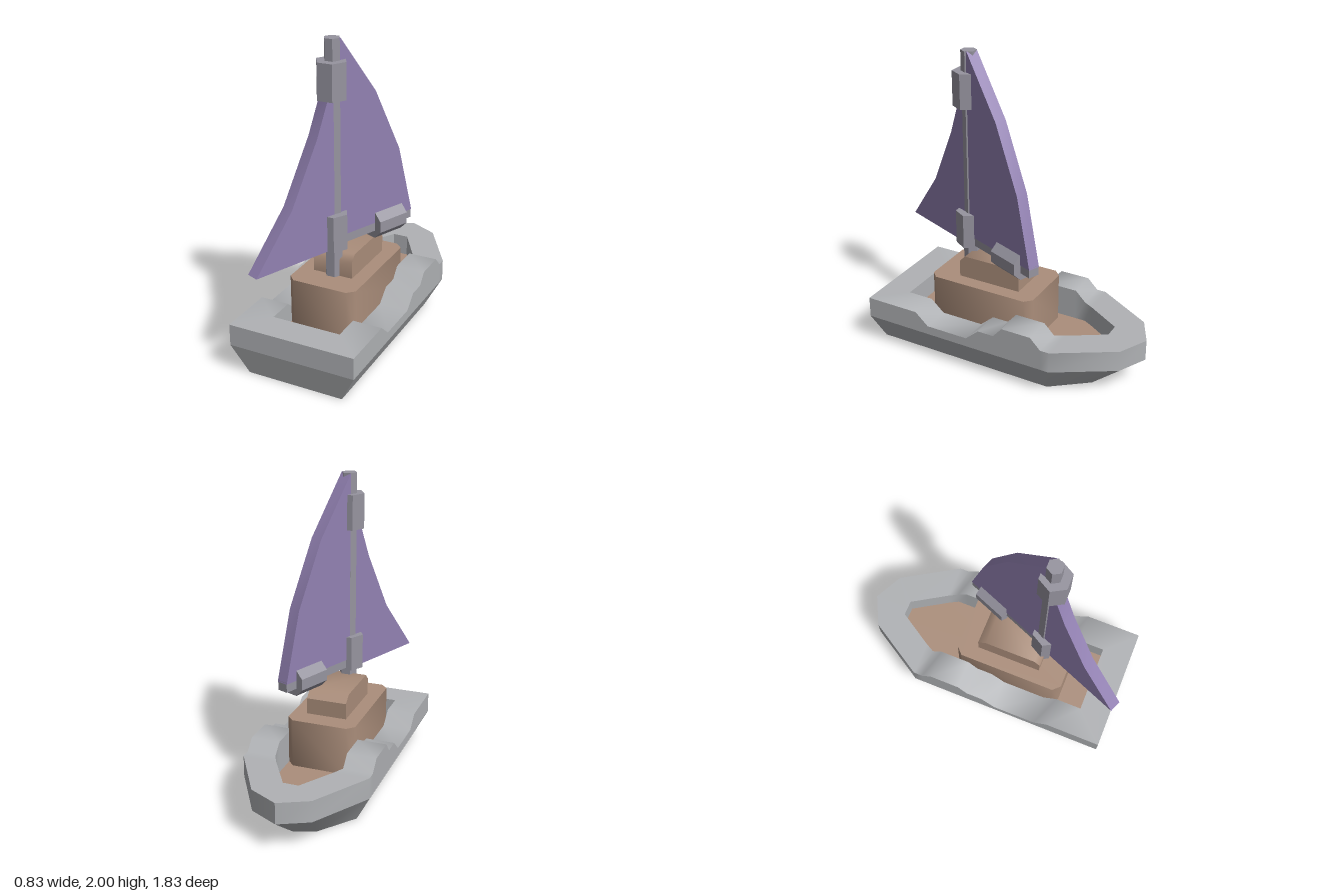
import * as THREE from 'three';
import { mergeGeometries, toCreasedNormals } from 'three/addons/utils/BufferGeometryUtils.js';

const mat = (name, color) => Object.assign(new THREE.MeshStandardMaterial({ color }), { name });
const CREASE = 0.87;

function add(parent, name, geometry, material, x = 0, y = 0, z = 0) {
  const mesh = new THREE.Mesh(geometry, material);
  mesh.name = name;
  mesh.position.set(x, y, z);
  parent.add(mesh);
  return mesh;
}

// Mirror a half outline (stern to bow, last point on the centre line) into a full loop of vectors
function loop(half, height) {
  const mirrored = half.slice(0, -1).reverse().map(([x, z]) => [-x, z]);
  return [...half, ...mirrored].map(([x, z]) => new THREE.Vector3(x, height(z), z));
}

function fromPoints(points) {
  return toCreasedNormals(new THREE.BufferGeometry().setFromPoints(points), CREASE);
}

// Band of quads between two loops
function band(low, high) {
  const points = [];
  low.forEach((a, i) => {
    const j = (i + 1) % low.length;
    points.push(a, low[j], high[j], a, high[j], high[i]);
  });
  return fromPoints(points);
}

// Fan that closes a loop
function cap(ring, up) {
  const centre = new THREE.Vector3(0, ring[0].y, 0);
  const points = [];
  ring.forEach((a, i) => {
    const b = ring[(i + 1) % ring.length];
    points.push(centre, up ? a : b, up ? b : a);
  });
  return fromPoints(points);
}

// Extrude a profile, centred on its thickness, with the profile's x running along -z
function slab(profile, thickness) {
  const shape = new THREE.Shape(profile.map(([x, y]) => new THREE.Vector2(x, y)));
  const geometry = new THREE.ExtrudeGeometry(shape, { depth: thickness, bevelEnabled: false });
  geometry.translate(0, 0, -thickness / 2).rotateY(Math.PI / 2);
  return toCreasedNormals(geometry, CREASE);
}

// Upright six-sided post with corners pointing to the sides
function hexPost(radius, y0, y1) {
  return new THREE.CylinderGeometry(radius, radius, y1 - y0, 6)
    .rotateY(Math.PI / 6).translate(0, (y0 + y1) / 2, 0).toNonIndexed();
}

export function createModel() {
  const hullGrey = mat('hull grey', 0xb0b2b5);
  const wood = mat('wood', 0xab8e7b);
  const mastGrey = mat('mast grey', 0x96949f);
  const sailPurple = mat('sail purple', 0x9281b2);
  const model = new THREE.Group();
  model.name = 'sailingBoat';

  // Hull: rail height along the boat, as [z, y]
  const rail = [[0.89, 0.33], [0.52, 0.33], [0.43, 0.25], [0.14, 0.25], [0.05, 0.33], [-0.06, 0.33],
    [-0.12, 0.4], [-0.32, 0.4], [-0.39, 0.33], [-0.92, 0.33]];
  const railHeight = (z) => {
    for (let i = 1; i < rail.length; i++) {
      const [z0, y0] = rail[i - 1], [z1, y1] = rail[i];
      if (z >= z1) return y0 + (y1 - y0) * (z0 - z) / (z0 - z1);
    }
    return 0.33;
  };
  const stations = rail.slice(1, 9).map(([z]) => z);
  const outer = [[0.415, 0.89], ...stations.map((z) => [0.415, z]), [0.415, -0.45], [0.19, -0.82], [0, -0.915]];
  const inner = [[0.225, 0.695], ...stations.map((z) => [0.225, z]), [0.193, -0.45], [0.05, -0.68], [0, -0.68]];
  const keel = [[0.315, 0.845], ...stations.map((z) => [0.315, z * 0.9]), [0.315, -0.39], [0.135, -0.62], [0, -0.665]];
  const rings = [
    loop(keel, () => 0), loop(outer, () => 0.19), loop(outer, railHeight),
    loop(inner, railHeight), loop(inner, () => 0.19),
  ];
  const bands = rings.slice(1).map((ring, i) => band(rings[i], ring));
  add(model, 'hull', mergeGeometries([cap(rings[0], false), ...bands]), hullGrey);
  add(model, 'deck', cap(rings[4], true), wood);

  // Cabin with clipped corners, and a smaller roof block on it
  const w = 0.225, c = 0.045, front = 0.525, back = -0.215;
  const plan = [[w, front - c], [w, back + c], [w - c, back], [c - w, back], [-w, back + c], [-w, front - c],
    [c - w, front], [w - c, front]];
  const cabin = new THREE.ExtrudeGeometry(
    new THREE.Shape(plan.map(([x, z]) => new THREE.Vector2(x, -z))), { depth: 0.32, bevelEnabled: false });
  cabin.rotateX(-Math.PI / 2);
  add(model, 'cabin', toCreasedNormals(cabin, CREASE), wood, 0, 0.19, 0);
  add(model, 'cabinRoof', slab([[-0.35, 0.51], [0.085, 0.51], [0.085, 0.615], [0.03, 0.66], [-0.31, 0.66],
    [-0.35, 0.62]], 0.265), wood);

  // Mast and its two collars
  const mastZ = 0.33;
  add(model, 'mast', hexPost(0.05, 0.72, 2), mastGrey, 0, 0, mastZ);
  add(model, 'mastFoot', hexPost(0.058, 0.51, 0.72), mastGrey, 0, 0, mastZ);
  add(model, 'lowerCollar', hexPost(0.097, 0.7, 0.93), mastGrey, 0, 0, mastZ + 0.01);
  add(model, 'upperCollar', hexPost(0.097, 1.645, 1.87), mastGrey, 0, 0, mastZ + 0.01);

  // Sails, boom and roll, all swung around the mast
  const rig = new THREE.Group();
  rig.name = 'rig';
  rig.position.z = mastZ;
  rig.rotation.y = -0.38;
  model.add(rig);
  add(rig, 'mainSail', slab([[0, 0.77], [0.622, 0.77], [0.505, 1.22], [0.305, 1.63], [0.03, 2], [0, 2]], 0.078), sailPurple);
  add(rig, 'foreSail', slab([[0, 0.7], [0, 1.7], [-0.06, 1.7], [-0.07, 1.65], [-0.15, 1.44], [-0.345, 1.05],
    [-0.615, 0.7]], 0.08), sailPurple);
  add(rig, 'boom', new THREE.BoxGeometry(0.074, 0.065, 0.62), mastGrey, 0, 0.747, -0.31);
  const roll = new THREE.CylinderGeometry(0.0947, 0.0947, 0.23, 8).rotateY(Math.PI / 8).rotateX(Math.PI / 2);
  add(rig, 'boomRoll', toCreasedNormals(roll, 0.3), mastGrey, 0, 0.753, -0.42);

  // Faceted posts
  for (const mesh of model.children) {
    if (/mast|Collar/.test(mesh.name)) mesh.geometry = toCreasedNormals(mesh.geometry, 0.3);
  }
  return model;
}
